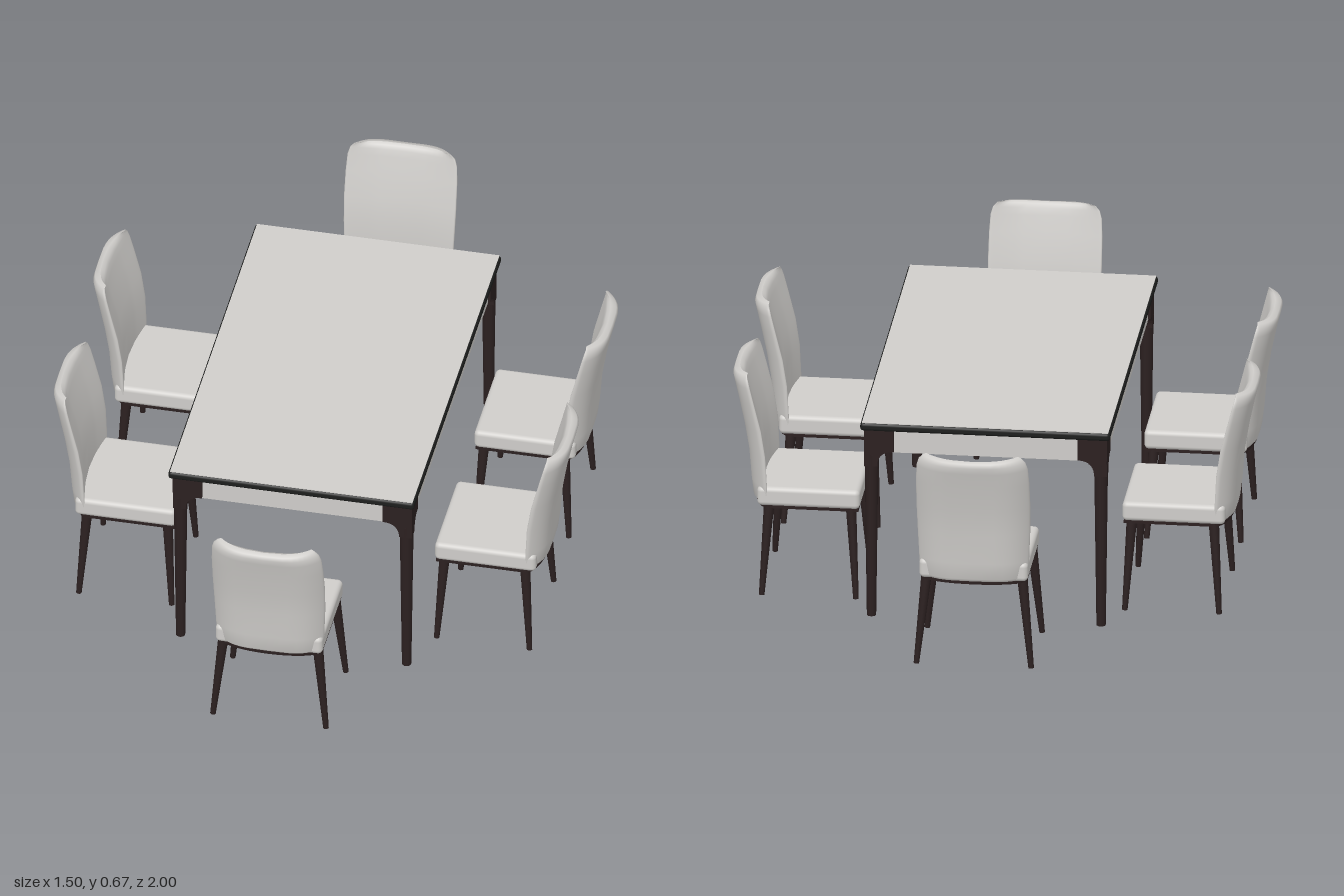
import * as THREE from 'three';
import { RoundedBoxGeometry } from 'three/addons/geometries/RoundedBoxGeometry.js';

const material = (name, color) => {
  const m = new THREE.MeshStandardMaterial({ color });
  m.name = name;
  return m;
};

function part(parent, name, geometry, mat, x = 0, y = 0, z = 0) {
  const mesh = new THREE.Mesh(geometry, mat);
  mesh.name = name;
  mesh.position.set(x, y, z);
  parent.add(mesh);
  return mesh;
}

// Tapered round bar between two points
function bar(parent, name, top, bottom, rTop, rBottom, mat) {
  const a = new THREE.Vector3(...top), b = new THREE.Vector3(...bottom);
  const dir = a.clone().sub(b);
  const mesh = part(parent, name, new THREE.CylinderGeometry(rTop, rBottom, dir.length(), 14), mat);
  mesh.position.copy(a).add(b).multiplyScalar(0.5);
  mesh.quaternion.setFromUnitVectors(new THREE.Vector3(0, 1, 0), dir.normalize());
}

// Curved padded backrest, lofted through horizontal sections
function backrestGeometry() {
  // height, front depth, rear depth, half width, closed flag
  const rows = [
    [0.268, 0.29, 0.29, 0.146, 1],
    [0.268, 0.275, 0.305, 0.148, 0],
    [0.28, 0.263, 0.316, 0.155, 0],
    [0.33, 0.26, 0.322, 0.158, 0],
    [0.42, 0.264, 0.329, 0.162, 0],
    [0.5, 0.276, 0.342, 0.164, 0],
    [0.58, 0.297, 0.359, 0.163, 0],
    [0.63, 0.31, 0.37, 0.16, 0],
    [0.652, 0.316, 0.375, 0.153, 0],
    [0.664, 0.323, 0.371, 0.142, 0],
    [0.668, 0.345, 0.345, 0.132, 1],
  ];
  const n = 40, positions = [], index = [];
  const soft = (v) => Math.sign(v) * Math.sqrt(Math.abs(v));
  rows.forEach(([y, front, rear, w, closed], i) => {
    for (let j = 0; j < n; j++) {
      const a = (j / n) * Math.PI * 2;
      const u = soft(Math.cos(a));
      const f = front + 0.025 * (1 - u * u);
      const r = rear - 0.043 * u ** 4;
      const s = closed ? 0 : soft(Math.sin(a));
      const dip = 0.008 * (1 - u * u) * THREE.MathUtils.smoothstep(y, 0.58, 0.668);
      positions.push(u * w, y - dip, (f + r) / 2 + (s * (r - f)) / 2);
      if (i < rows.length - 1) {
        const p = i * n + j, q = i * n + ((j + 1) % n);
        index.push(p, p + n, q, q, p + n, q + n);
      }
    }
  });
  const g = new THREE.BufferGeometry();
  g.setAttribute('position', new THREE.Float32BufferAttribute(positions, 3));
  g.setIndex(index);
  g.computeVertexNormals();
  return g;
}

// Thin panel under the seat with a bowed rear edge
function basePanelGeometry() {
  const s = new THREE.Shape();
  s.moveTo(-0.152, 0.004);
  s.lineTo(0.152, 0.004);
  s.lineTo(0.152, 0.265);
  s.bezierCurveTo(0.14, 0.325, -0.14, 0.325, -0.152, 0.265);
  s.closePath();
  return new THREE.ExtrudeGeometry(s, { depth: 0.008, bevelEnabled: false, curveSegments: 16 }).rotateX(Math.PI / 2);
}

// Table leg bracket: plate with a concave curve running into the leg
function bracketGeometry() {
  const s = new THREE.Shape();
  s.moveTo(0.019, 0.585);
  s.lineTo(-0.066, 0.585);
  s.lineTo(-0.066, 0.512);
  s.quadraticCurveTo(-0.019, 0.512, -0.018, 0.465);
  s.lineTo(0.018, 0.465);
  s.closePath();
  return new THREE.ExtrudeGeometry(s, { depth: 0.038, bevelEnabled: false, curveSegments: 10 }).translate(0, 0, -0.019);
}

export function createModel() {
  const pale = material('pale upholstery', 0xcfcdca);
  const wood = material('dark wood', 0x2b2020);
  const black = material('black edge', 0x1d1e1d);
  const model = new THREE.Group();
  model.name = 'diningSet';

  // Table
  const table = new THREE.Group();
  table.name = 'table';
  table.position.x = -0.004;
  model.add(table);
  part(table, 'tableSlab', new RoundedBoxGeometry(0.718, 0.024, 1.2, 3, 0.009), black, 0, 0.593, 0);
  part(table, 'tableTopPanel', new THREE.BoxGeometry(0.708, 0.004, 1.19), pale, 0, 0.604, 0);
  part(table, 'apron', new THREE.BoxGeometry(0.684, 0.074, 1.148), pale, 0, 0.546, 0);
  const bracket = bracketGeometry();
  [[1, 1], [1, -1], [-1, -1], [-1, 1]].forEach(([sx, sz], k) => {
    const leg = new THREE.Group();
    leg.name = 'tableLeg';
    leg.position.set(sx * 0.33, 0, sz * 0.561);
    leg.rotation.y = (k * Math.PI) / 2;
    table.add(leg);
    bar(leg, 'legPost', [0, 0.5, 0], [0, 0, 0], 0.02, 0.0135, wood);
    part(leg, 'bracketAcross', bracket, wood);
    part(leg, 'bracketAlong', bracket, wood).rotation.y = -Math.PI / 2;
  });

  // Chairs: local front at z = 0, back towards +z
  const backrest = backrestGeometry();
  const basePanel = basePanelGeometry();
  const seat = new RoundedBoxGeometry(0.312, 0.058, 0.295, 4, 0.014);
  function chair(x, z, turn) {
    const g = new THREE.Group();
    g.name = 'chair';
    g.position.set(x, 0, z);
    g.rotation.y = turn;
    model.add(g);
    part(g, 'seat', seat, pale, 0, 0.297, 0.1475);
    part(g, 'backrest', backrest, pale);
    part(g, 'basePanel', basePanel, wood, 0, 0.27, 0);
    for (const s of [-1, 1]) {
      bar(g, 'frontLeg', [s * 0.138, 0.266, 0.026], [s * 0.165, 0, 0.009], 0.015, 0.008, wood);
      bar(g, 'backLeg', [s * 0.138, 0.266, 0.262], [s * 0.165, 0, 0.28], 0.015, 0.008, wood);
    }
  }
  const quarter = Math.PI / 2;
  chair(-0.001, 0.625, 0);
  chair(-0.008, -0.625, Math.PI);
  for (const z of [0.257, -0.282]) chair(0.375, z, quarter);
  for (const z of [0.265, -0.275]) chair(-0.379, z, -quarter);
  return model;
}
